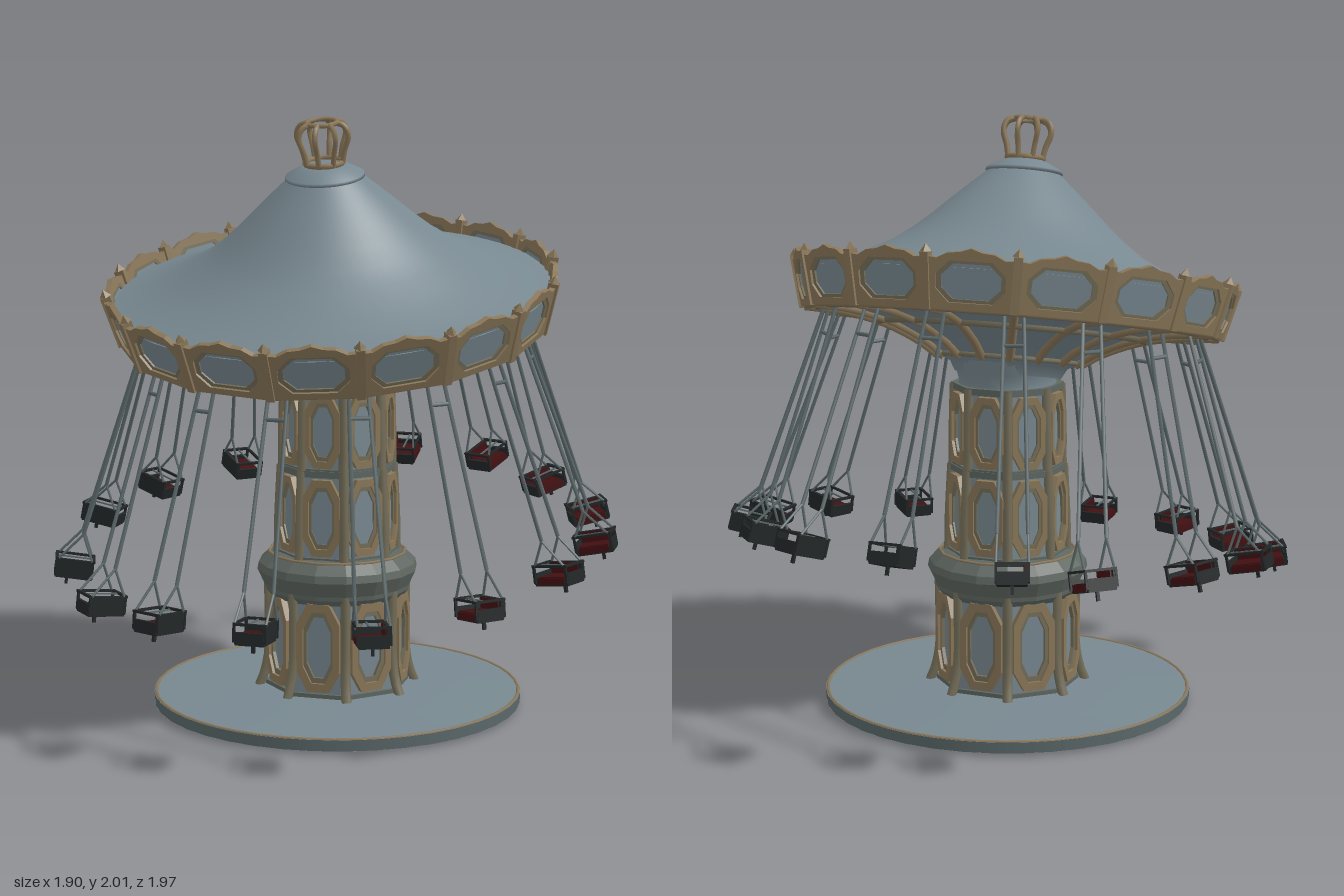
import * as THREE from 'three';

const mat = (name, color, side = THREE.FrontSide) => {
  const m = new THREE.MeshStandardMaterial({ color, side });
  m.name = name;
  return m;
};
const V = (x, y, z) => new THREE.Vector3(x, y, z);
const P = (x, y) => new THREE.Vector2(x, y);

export function createModel() {
  const slate = mat('slate blue', 0x788890, THREE.DoubleSide);
  const tan = mat('aged gold', 0x8a7759);
  const stone = mat('dark stone', 0x5f6761);
  const olive = mat('weathered stone', 0x746e59);
  const steel = mat('steel', 0x5c696b);
  const black = mat('black iron', 0x222627);
  const red = mat('dark red', 0x421012);

  const model = new THREE.Group();
  model.name = 'swingCarousel';

  const add = (parent, name, geo, material, x = 0, y = 0, z = 0) => {
    const m = new THREE.Mesh(geo, material);
    m.name = name;
    m.position.set(x, y, z);
    parent.add(m);
    return m;
  };
  const group = (parent, name, y = 0, rotY = 0) => {
    const g = new THREE.Group();
    g.name = name;
    g.position.y = y;
    g.rotation.y = rotY;
    parent.add(g);
    return g;
  };
  const flat = (geo) => {
    const g = geo.toNonIndexed();
    g.computeVertexNormals();
    return g;
  };
  const lathe = (pts, n = 48) => new THREE.LatheGeometry(pts.map((p) => P(...p)), n);
  const tube = (pts, r, n = 12, sides = 6) =>
    new THREE.TubeGeometry(new THREE.CatmullRomCurve3(pts), n, r, sides);
  const ring = (parent, name, r, t, material, y, n = 48) => {
    const m = add(parent, name, new THREE.TorusGeometry(r, t, 6, n), material, 0, y, 0);
    m.rotation.x = Math.PI / 2;
    return m;
  };
  const rod = (parent, name, a, b, r, material) => {
    const d = b.clone().sub(a);
    const m = add(parent, name, new THREE.CylinderGeometry(r, r, d.length(), 5), material);
    m.position.copy(a).addScaledVector(d, 0.5);
    m.quaternion.setFromUnitVectors(V(0, 1, 0), d.normalize());
  };
  // Eight-cornered window outline
  const oct = (w, h, kx, ky, cy = 0) =>
    [[1, -ky], [1, ky], [kx, 1], [-kx, 1], [-1, ky], [-1, -ky], [-kx, -1], [kx, -1]]
      .map(([x, y]) => P((x * w) / 2, cy + (y * h) / 2));
  const frame = (outer, hole, depth) => {
    const s = new THREE.Shape(outer);
    s.holes.push(new THREE.Path(hole));
    return new THREE.ExtrudeGeometry(s, { depth, bevelEnabled: false });
  };

  // Base platform
  const base = group(model, 'basePlatform');
  add(base, 'platformEdge', new THREE.CylinderGeometry(0.632, 0.63, 0.037, 40, 1, true), steel, 0, 0.0285, 0);
  add(base, 'platformFloor', lathe([[0.631, 0.047], [0.45, 0.055], [0.25, 0.065], [0, 0.066]]), slate);
  add(base, 'platformUnderside', lathe([[0, 0], [0.3, 0.004], [0.63, 0.01]]), slate);
  ring(base, 'platformTrim', 0.624, 0.006, tan, 0.046);

  // Tower: three eight-sided tiers with framed windows and corner posts
  const tower = group(model, 'tower');
  const tiers = [
    // bottom, top, bottom radius, top radius, window width, foot flare
    [0.06, 0.42, 0.235, 0.235, 0.15, 0.035],
    [0.52, 0.83, 0.20, 0.19, 0.128, 0.006],
    [0.82, 1.11, 0.185, 0.18, 0.12, 0.004],
  ];
  for (const [y0, y1, r0, r1, w, flare] of tiers) {
    const h = y1 - y0;
    const wall = add(tower, 'tierWall', flat(new THREE.CylinderGeometry(r1, r0, h, 8)), slate, 0, (y0 + y1) / 2, 0);
    wall.rotation.y = Math.PI / 8;
    const apothem = Math.min(r0, r1) * Math.cos(Math.PI / 8);
    const outer = frame(oct(w, h * 0.84, 0.5, 0.55), oct(w * 0.7, h * 0.68, 0.45, 0.52), 0.024);
    const inner = frame(oct(w * 0.7, h * 0.68, 0.45, 0.52), oct(w * 0.56, h * 0.58, 0.42, 0.5), 0.014);
    const foot = tube([V(0, y0, r0 + flare), V(0, y0 + h * 0.12, r0 + flare * 0.5),
      V(0, y0 + h * 0.35, r0 + 0.002), V(0, y1, r1 + 0.002)], 0.017, 10, 6);
    for (let i = 0; i < 8; i++) {
      const a = (i * Math.PI) / 4;
      const side = group(tower, 'towerSide', 0, a);
      add(side, 'windowFrame', outer, tan, 0, (y0 + y1) / 2, apothem - 0.002);
      add(side, 'windowReveal', inner, olive, 0, (y0 + y1) / 2, apothem - 0.002);
      add(group(tower, 'cornerPost', 0, a + Math.PI / 8), 'post', foot, olive);
    }
    for (const [y, r] of [[y0 + 0.008, r0], [y1 - 0.008, r1]]) {
      const band = add(tower, 'tierBand', flat(new THREE.CylinderGeometry(r + 0.012, r + 0.012, 0.022, 8)), stone, 0, y, 0);
      band.rotation.y = Math.PI / 8;
    }
  }
  const ledge = lathe([[0.235, 0.385], [0.25, 0.405], [0.252, 0.42], [0.275, 0.47], [0.27, 0.495], [0.235, 0.528], [0.18, 0.535]], 16);
  add(tower, 'ledge', flat(ledge), stone);
  ring(tower, 'ledgeTrim', 0.234, 0.005, tan, 0.529, 16);
  add(tower, 'hub', lathe([[0.175, 1.09], [0.165, 1.12], [0.175, 1.16], [0.2, 1.25]], 24), slate);

  // Tilted canopy
  const canopy = group(model, 'canopy', 1.31);
  canopy.position.z = 0.04;
  canopy.rotation.x = 0.21;
  add(canopy, 'roof', lathe([[0.73, 0.125], [0.66, 0.143], [0.55, 0.183], [0.43, 0.245], [0.36, 0.296], [0.3, 0.348],
    [0.24, 0.405], [0.18, 0.46], [0.12, 0.513]], 64), slate);
  const under = [[0.24, -0.125], [0.3, -0.085], [0.43, -0.03], [0.58, 0.0], [0.705, 0.005]];
  add(canopy, 'underside', lathe([[0.18, -0.18], [0.2, -0.145], ...under], 48), slate);
  ring(canopy, 'hubRing', 0.245, 0.01, olive, -0.125);
  ring(canopy, 'undersideRing', 0.45, 0.017, olive, -0.026);
  ring(canopy, 'outerUndersideRing', 0.66, 0.014, olive, 0.002);
  ring(canopy, 'rimFoot', 0.7, 0.014, tan, 0.002, 16);

  // Rim: sixteen framed panels with posts and points between them
  const N = 16;
  const lean = 0.26;
  const outline = [[-0.139, 0], [0.139, 0], [0.15, 0.165], [0.11, 0.16], [0.075, 0.178], [0.035, 0.182], [0, 0.194],
    [-0.035, 0.182], [-0.075, 0.178], [-0.11, 0.16], [-0.15, 0.165]].map((p) => P(...p));
  const opening = oct(0.222, 0.132, 0.62, 0.35, 0.088);
  const rimFrame = frame(outline, opening, 0.018);
  const rimReveal = frame(opening, oct(0.19, 0.112, 0.6, 0.35, 0.088), 0.01);
  const rimPane = new THREE.PlaneGeometry(0.27, 0.15);
  const rib = tube(under.map(([r, y]) => V(0, y - 0.006, r)), 0.016, 14, 5);
  for (let i = 0; i < N; i++) {
    const a = (i / N) * Math.PI * 2;
    const leaning = group(group(canopy, 'rimPanel', 0, a + Math.PI / N), 'leaningPanel');
    leaning.position.z = 0.688;
    leaning.rotation.x = lean;
    add(leaning, 'rimFrame', rimFrame, tan);
    add(leaning, 'rimReveal', rimReveal, olive);
    add(leaning, 'rimPane', rimPane, slate, 0, 0.085, 0.004);

    const spoke = group(canopy, 'rimSpoke', 0, a);
    add(spoke, 'undersideRib', rib, tan);
    const post = group(spoke, 'rimPost');
    post.position.z = 0.704;
    post.rotation.x = lean;
    add(post, 'postBody', new THREE.BoxGeometry(0.028, 0.18, 0.034), tan, 0, 0.086, 0.004);
    add(post, 'postPoint', flat(new THREE.ConeGeometry(0.02, 0.025, 4)), tan, 0, 0.188, 0.002);
  }

  // Cap and openwork crown
  add(canopy, 'cap', lathe([[0.1, 0.495], [0.132, 0.51], [0.13, 0.52], [0.085, 0.545], [0.06, 0.555], [0, 0.558]], 32), slate);
  const crown = group(canopy, 'crown', 0.556);
  ring(crown, 'crownBase', 0.062, 0.01, tan, 0.004, 24);
  ring(crown, 'crownTop', 0.05, 0.008, tan, 0.136, 24);
  const arch = tube([V(0, 0, 0.062), V(0, 0.045, 0.072), V(0, 0.095, 0.088), V(0, 0.126, 0.075), V(0, 0.136, 0.05)], 0.0095, 14);
  for (let i = 0; i < 8; i++) {
    add(group(crown, 'crownArch', 0, (i * Math.PI) / 4), 'arch', arch, tan);
  }

  // Swing seats around the rim, each facing along the direction of travel (local -x)
  const box = (w, h, d) => new THREE.BoxGeometry(w, h, d);
  const makeSeat = (seat) => {
    add(seat, 'seatPan', box(0.094, 0.022, 0.124), black, 0, -0.018, 0);
    add(seat, 'cushion', box(0.078, 0.008, 0.1), red, -0.004, -0.004, 0);
    add(seat, 'frontPad', box(0.006, 0.022, 0.1), red, -0.047, -0.014, 0);
    add(seat, 'backrest', box(0.012, 0.054, 0.124), black, 0.046, 0.01, 0);
    add(seat, 'backPad', box(0.006, 0.04, 0.1), red, 0.038, 0.014, 0);
    add(seat, 'footPeg', box(0.01, 0.035, 0.01), black, 0, -0.04, 0.02);
    for (const s of [-1, 1]) {
      add(seat, 'sidePlate', box(0.094, 0.036, 0.01), black, 0, -0.006, s * 0.06);
      add(seat, 'armRail', box(0.106, 0.008, 0.01), black, 0, 0.036, s * 0.062);
      for (const x of [-0.05, 0.05]) add(seat, 'armPost', box(0.008, 0.06, 0.008), black, x, 0.01, s * 0.06);
    }
    add(seat, 'safetyBar', box(0.008, 0.008, 0.124), black, -0.05, 0.036, 0);
    add(seat, 'safetyChain', box(0.005, 0.005, 0.124), steel, -0.01, 0.034, 0);
  };
  // Seat centres x, y, z, from the front round by the model's left
  const seats = [
    [0, 0.46, 0.905], [0.35, 0.46, 0.84], [0.63, 0.5, 0.59], [0.82, 0.555, 0.275],
    [0.88, 0.59, -0.07], [0.8, 0.63, -0.375], [0.59, 0.675, -0.655], [0.33, 0.715, -0.89],
    [0, 0.72, -0.925], [-0.355, 0.67, -0.82], [-0.595, 0.66, -0.755], [-0.81, 0.63, -0.445],
    [-0.885, 0.59, -0.07], [-0.82, 0.495, 0.365], [-0.59, 0.46, 0.695], [-0.33, 0.46, 0.86],
  ];
  canopy.updateMatrixWorld(true);
  seats.forEach(([x, y, z], i) => {
    const a = (i / N) * Math.PI * 2;
    const s = Math.sin(a);
    const c = Math.cos(a);
    const swing = group(model, 'swing');
    const top = V(0.64 * s, 0, 0.64 * c).applyMatrix4(canopy.matrix);
    const seat = group(swing, 'seat', y, a);
    seat.position.set(x, y, z);
    const tilted = group(seat, 'tiltedSeat');
    tilted.rotation.x = -(0.2 - 0.12 * c);
    makeSeat(tilted);
    seat.updateMatrixWorld(true);

    const hang = [];
    for (const k of [-1, 1]) {
      const from = top.clone().add(V(c, 0, -s).multiplyScalar(k * 0.03));
      const ends = [-0.056, 0.056].map((d) => V(k * 0.05, 0.036, d).applyMatrix4(tilted.matrixWorld));
      const mid = ends[0].clone().add(ends[1]).multiplyScalar(0.5);
      const fork = from.clone().lerp(mid, 0.88);
      rod(swing, 'hangerRod', from, fork, 0.0068, steel);
      for (const e of ends) rod(swing, 'forkRod', fork, e, 0.0045, steel);
      hang.push(from.clone().lerp(mid, 0.13));
    }
    rod(swing, 'crossBar', hang[0], hang[1], 0.007, steel);
  });
  return model;
}
